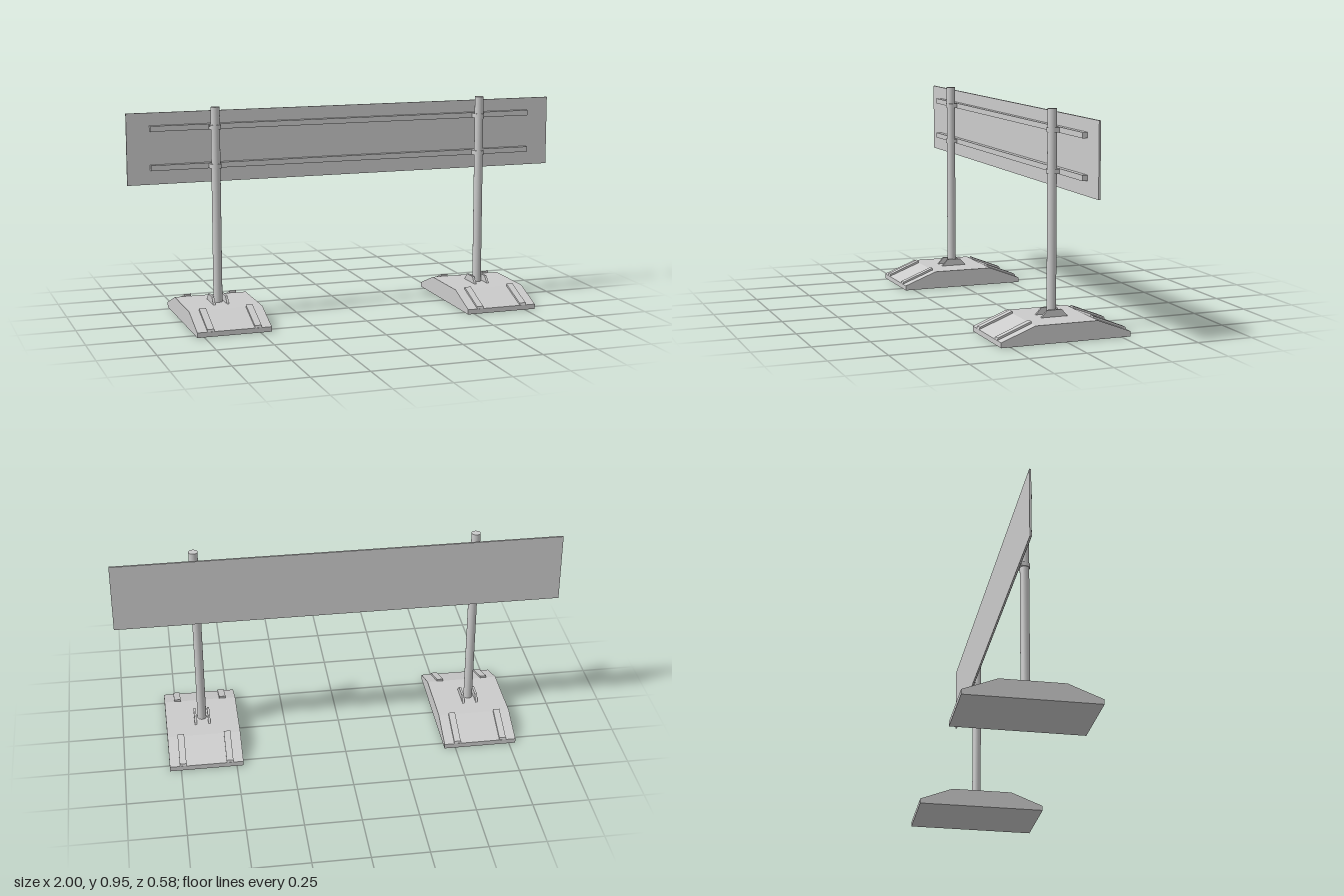
import * as THREE from 'three';

export function createModel() {
  const root = new THREE.Group();
  root.name = 'roadBarrierSign';
  const mat = new THREE.MeshStandardMaterial({ color: 0xcccccc });

  const add = (parent, name, geo, x = 0, y = 0, z = 0) => {
    const mesh = new THREE.Mesh(geo, mat);
    mesh.name = name;
    mesh.position.set(x, y, z);
    parent.add(mesh);
    return mesh;
  };

  // Side profile given as [z, y] points, extruded across x and centred on it
  const profile = (points, width) => {
    const shape = new THREE.Shape(points.map(([z, y]) => new THREE.Vector2(-z, y)));
    const geo = new THREE.ExtrudeGeometry(shape, { depth: width, bevelEnabled: false });
    geo.translate(0, 0, -width / 2);
    geo.rotateY(Math.PI / 2);
    return geo;
  };

  // Sign board with two rails on its front
  add(root, 'board', new THREE.BoxGeometry(2, 0.315, 0.008), 0, 0.7725, -0.048);
  const railHeights = [0.862, 0.69];
  for (const y of railHeights) {
    add(root, 'rail', new THREE.BoxGeometry(1.79, 0.024, 0.022), -0.003, y, -0.033);
  }

  // Two stands: weighted foot, post, gussets and clamps
  for (const x of [-0.615, 0.635]) {
    const stand = new THREE.Group();
    stand.name = 'stand';
    stand.position.x = x;
    root.add(stand);

    add(stand, 'foot', profile([
      [-0.29, 0], [-0.29, 0.022], [-0.14, 0.08], [0.14, 0.08], [0.29, 0.022], [0.29, 0],
    ], 0.33));

    // Raised ribs along both slopes
    for (const end of [-1, 1]) {
      for (const side of [-1, 1]) {
        const rib = profile([
          [0.14, 0.078], [0.14, 0.09], [0.286, 0.032], [0.29, 0.02],
        ].map(([z, y]) => [z, y]), 0.03);
        if (end < 0) rib.rotateY(Math.PI);
        add(stand, 'rib', rib, side * 0.105);
      }
    }

    // Post
    add(stand, 'post', new THREE.CylinderGeometry(0.02, 0.02, 0.87, 32), 0, 0.515, 0);

    // Gusset plates either side of the post
    for (const side of [-1, 1]) {
      add(stand, 'gusset', profile([
        [-0.06, 0.079], [-0.033, 0.11], [0.033, 0.11], [0.06, 0.079],
      ], 0.01), side * 0.031);
    }

    // Clamps holding the rails
    for (const y of railHeights) {
      add(stand, 'clampBand', new THREE.CylinderGeometry(0.024, 0.024, 0.02, 32), 0, y, 0);
      add(stand, 'clampLug', new THREE.BoxGeometry(0.05, 0.02, 0.024), 0, y, -0.012);
    }
  }

  return root;
}
